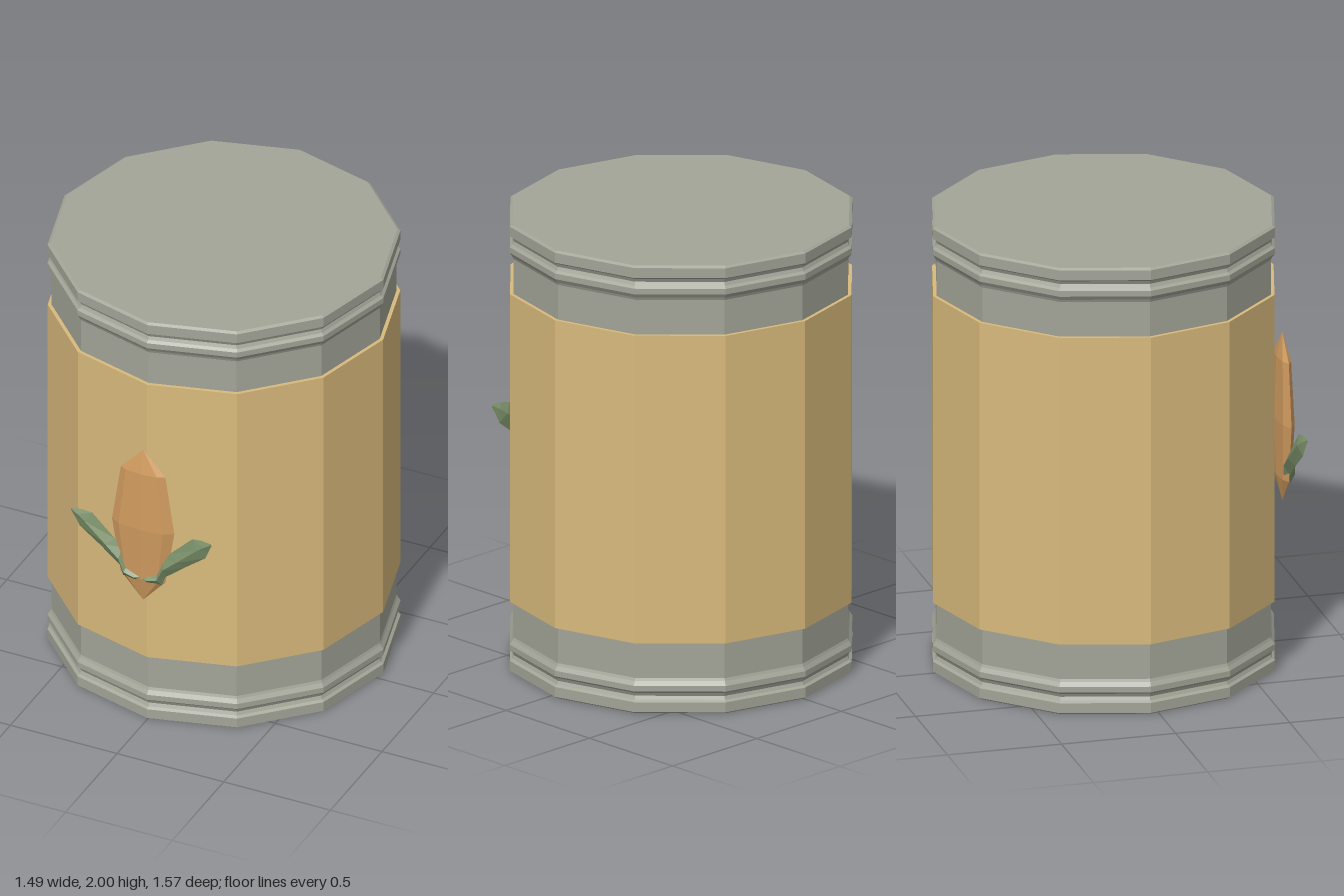
import * as THREE from 'three';

const mat = (name, color) => {
  const m = new THREE.MeshStandardMaterial({ color, flatShading: true });
  m.name = name;
  return m;
};

const SIDES = 12;
const AXIS_Z = -0.037;

function lathe(name, pts, sides, material) {
  const profile = pts.map(([r, y]) => new THREE.Vector2(r, y));
  const mesh = new THREE.Mesh(new THREE.LatheGeometry(profile, sides), material);
  mesh.name = name;
  return mesh;
}

// Leaf lofted from diamond sections: [outer x, outer y, inner x, inner y, z, half thickness]
const LEAF = [
  [0.0, 0.757, 0.005, 0.75, 0.77, 0.004],
  [0.025, 0.775, 0.03, 0.728, 0.762, 0.02],
  [0.065, 0.795, 0.09, 0.732, 0.755, 0.025],
  [0.098, 0.865, 0.108, 0.775, 0.75, 0.026],
  [0.13, 0.9, 0.2, 0.85, 0.75, 0.024],
  [0.235, 1.005, 0.295, 0.925, 0.755, 0.018],
  [0.28, 1.012, 0.312, 0.965, 0.76, 0.012],
  [0.325, 1.012, 0.33, 1.003, 0.767, 0.002],
];

function leaf(name, side, material) {
  const pos = [], idx = [];
  for (const [ax, ay, bx, by, z, t] of LEAF) {
    const mx = (ax + bx) / 2, my = (ay + by) / 2;
    pos.push(side * ax, ay, z, side * mx, my, z + t, side * bx, by, z, side * mx, my, z - t);
  }
  const tri = (a, b, c) => (side > 0 ? idx.push(a, b, c) : idx.push(a, c, b));
  for (let i = 0; i < LEAF.length - 1; i++) {
    for (let j = 0; j < 4; j++) {
      const a = i * 4 + j, b = i * 4 + (j + 1) % 4;
      tri(a, b, b + 4);
      tri(a, b + 4, a + 4);
    }
  }
  // End caps
  const e = (LEAF.length - 1) * 4;
  tri(0, 2, 1); tri(0, 3, 2);
  tri(e, e + 1, e + 2); tri(e, e + 2, e + 3);
  const geo = new THREE.BufferGeometry();
  geo.setAttribute('position', new THREE.Float32BufferAttribute(pos, 3));
  geo.setIndex(idx);
  geo.computeVertexNormals();
  const mesh = new THREE.Mesh(geo, material);
  mesh.name = name;
  return mesh;
}

export function createModel() {
  const metal = mat('grey metal', 0xa3a598);
  const paper = mat('tan label', 0xd9ba7c);
  const orange = mat('orange cob', 0xcf9a5e);
  const green = mat('green leaf', 0x7b9069);

  const model = new THREE.Group();
  model.name = 'cornCan';

  // Metal body: rims and beads at the bottom, mirrored at the top
  const half = [
    [0, 0], [0.735, 0], [0.747, 0.008], [0.747, 0.052], [0.735, 0.06], [0.728, 0.075],
    [0.735, 0.09], [0.747, 0.1], [0.747, 0.125], [0.735, 0.143], [0.73, 0.155],
  ];
  const body = lathe('canBody', [...half, ...half.map(([r, y]) => [r, 2 - y]).reverse()], SIDES, metal);
  body.position.z = AXIS_Z;

  // Paper label wrapped round the middle
  const label = lathe('label', [[0.725, 0.315], [0.746, 0.315], [0.746, 1.69], [0.725, 1.69]], SIDES, paper);
  label.position.z = AXIS_Z;

  // Flattened corn cob emblem
  const cob = lathe('cornCob', [[0, 0.628], [0.105, 0.745], [0.146, 1.0], [0.104, 1.275], [0, 1.383]], 8, orange);
  cob.scale.z = 0.25;
  cob.position.z = 0.747;

  model.add(body, label, cob, leaf('leftLeaf', 1, green), leaf('rightLeaf', -1, green));
  return model;
}
